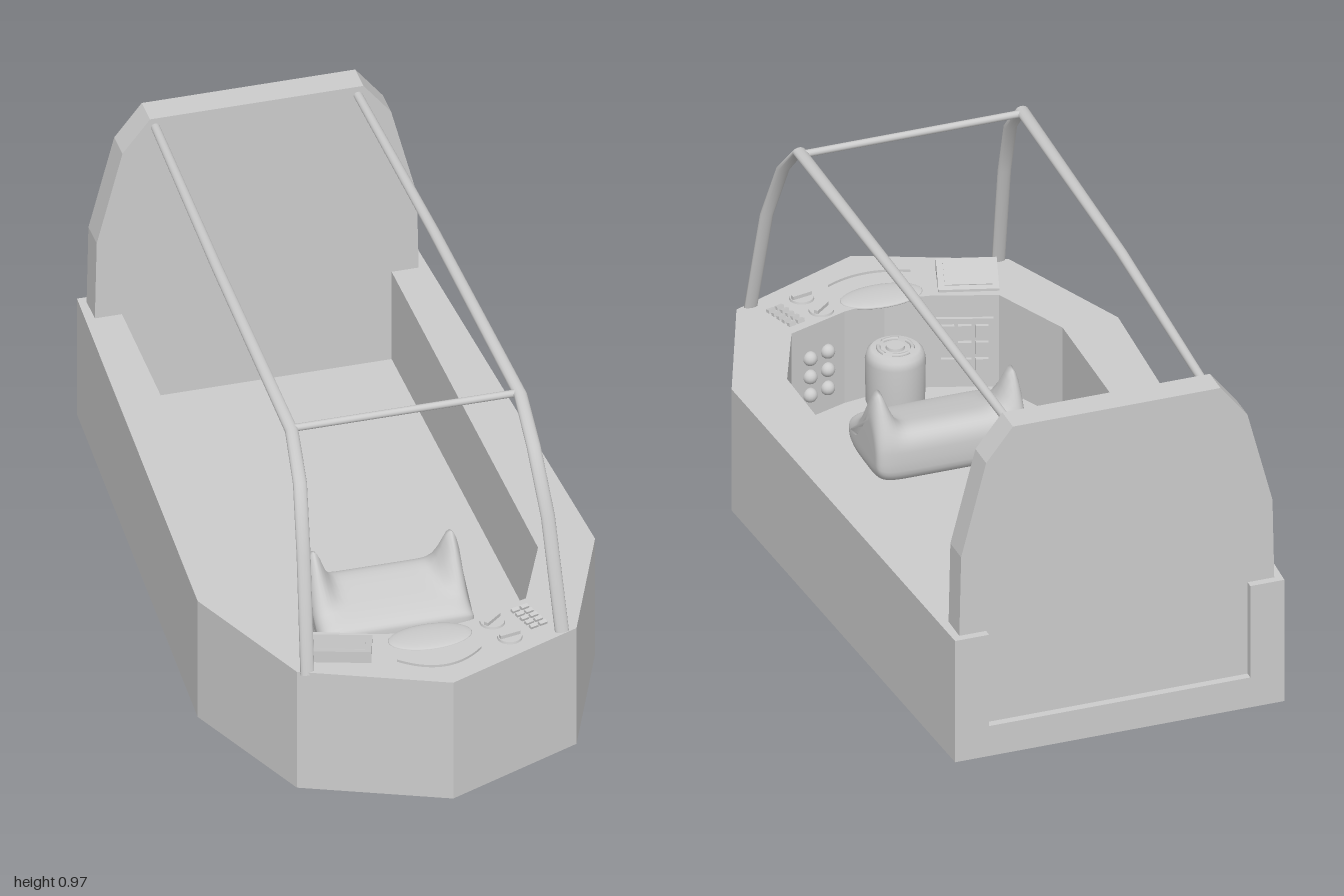
import * as THREE from 'three';

const material = new THREE.MeshStandardMaterial({ color: 0xcccccc, side: THREE.DoubleSide });
const flat = new THREE.MeshStandardMaterial({ color: 0xcccccc, flatShading: true, side: THREE.DoubleSide });

const DECK = 0.365, FLOOR = 0.09;

function add(parent, name, geometry, x = 0, y = 0, z = 0, mat = material) {
  const mesh = new THREE.Mesh(geometry, mat);
  mesh.name = name;
  mesh.position.set(x, y, z);
  parent.add(mesh);
  return mesh;
}

function group(parent, name, x, y, z, yaw = 0) {
  const g = new THREE.Group();
  g.name = name;
  g.position.set(x, y, z);
  g.rotation.y = yaw;
  parent.add(g);
  return g;
}

const shapeOf = points => new THREE.Shape(points.map(([x, y]) => new THREE.Vector2(x, y)));
const mirrored = half => [...half, ...half.slice().reverse().filter(p => p[0] !== 0).map(([x, y]) => [-x, y])];

// Plan outline (x, z) extruded between two heights
function slab(shape, bottom, top) {
  const g = new THREE.ExtrudeGeometry(shape, { depth: top - bottom, bevelEnabled: false, curveSegments: 24 });
  return g.rotateX(Math.PI / 2).translate(0, top, 0);
}

// Grid of rings joined into a skin
function skin(rings, closeEnds = false) {
  const n = rings[0].length, pos = rings.flat(2), index = [];
  for (let i = 0; i < rings.length - 1; i++)
    for (let j = 0; j < n; j++) {
      const a = i * n + j, b = i * n + (j + 1) % n;
      index.push(a, b, a + n, b, b + n, a + n);
    }
  if (closeEnds) for (let j = 1; j < n - 1; j++) {
    const e = (rings.length - 1) * n;
    index.push(0, j + 1, j, e, e + j, e + j + 1);
  }
  const g = new THREE.BufferGeometry();
  g.setAttribute('position', new THREE.Float32BufferAttribute(pos, 3));
  g.setIndex(index);
  g.computeVertexNormals();
  return g;
}

// Oval bar along points [x, y, z, halfWidth, halfThickness]
function ovalBar(points) {
  const v = points.map(p => new THREE.Vector3(p[0], p[1], p[2]));
  return skin(v.map((p, i) => {
    const t = v[Math.min(i + 1, v.length - 1)].clone().sub(v[Math.max(i - 1, 0)]).normalize();
    const up = t.clone().cross(new THREE.Vector3(1, 0, 0)).normalize();
    const side = up.clone().cross(t);
    return Array.from({ length: 14 }, (_, k) => {
      const a = k / 14 * Math.PI * 2;
      return p.clone().addScaledVector(side, Math.cos(a) * points[i][3])
        .addScaledVector(up, Math.sin(a) * points[i][4]).toArray();
    });
  }), true);
}

// Rounded bench whose ends sweep up into horns
function seatGeometry() {
  const rings = [], steps = 40;
  for (let i = 0; i <= steps; i++) {
    const u = -Math.cos(i / steps * Math.PI);
    const x = u * 0.21, s = Math.abs(u);
    const end = Math.pow(Math.max(0, 1 - Math.pow(s, 10)), 0.4);
    const horn = 0.12 * Math.exp(-Math.pow((s - 0.9) / 0.17, 2));
    const ring = [];
    for (let k = 0; k < 40; k++) {
      const a = k / 40 * Math.PI * 2, c = Math.cos(a), n = Math.sin(a);
      const squash = 0.75 + 0.25 * end;
      const z = 0.355 + 0.125 * squash * Math.sign(c) * Math.pow(Math.abs(c), 0.6);
      let y = 0.18 + 0.075 * (0.2 + 0.8 * end) * Math.sign(n) * Math.pow(Math.abs(n), 0.6);
      if (n > 0) y += n * (horn * Math.exp(-Math.pow((z - 0.31) / 0.06, 2)) + (0.33 - z) * 0.22);
      ring.push([x, y, z]);
    }
    rings.push(ring);
  }
  return skin(rings, true);
}

export function createModel() {
  const model = new THREE.Group();
  model.name = 'openCockpit';

  // Hull: solid floor with a wall that is open at the stern
  const outer = [[0.46, -1], [0.54, 0.45], [0.38, 0.84], [0, 1]];
  const inner = [[0.365, -1], [0.385, 0.45], [0.29, 0.67], [0.12, 0.73], [0, 0.75]];
  const hull = group(model, 'hull', 0, 0, 0);
  add(hull, 'floor', slab(shapeOf(mirrored(outer)), 0, FLOOR), 0, 0, 0, flat);
  add(hull, 'sideWallsAndDeck',
    slab(shapeOf([...mirrored(outer), ...mirrored(inner).reverse()]), FLOOR, DECK), 0, 0, 0, flat);

  // Tall rear panel standing on the floor
  const panel = mirrored([[0.44, FLOOR], [0.44, 0.365], [0.435, 0.6], [0.365, 0.87], [0.29, 0.965]]);
  add(model, 'rearPanel',
    new THREE.ExtrudeGeometry(shapeOf(panel), { depth: 0.08, bevelEnabled: false }), 0, 0, -0.978, flat);

  // Roof rails running down into the front posts, slightly uneven left to right
  const frame = group(model, 'cageFrame', 0, 0, 0);
  const cage = [
    ['leftRail', 1, 0.275, 0.287, 0.297, 0.305, 0.34],
    ['rightRail', -1, 0.275, 0.305, 0.325, 0.33, 0.353]];
  for (const [name, s, rear, mid, front, knee, foot] of cage)
    add(frame, name, ovalBar([
      [s * rear, 0.938, -0.91, 0.012, 0.011],
      [s * mid, 0.954, -0.2, 0.015, 0.011],
      [s * front, 0.955, 0.595, 0.018, 0.012],
      [s * knee, 0.855, 0.692, 0.019, 0.012],
      [s * (knee + foot) / 2, 0.68, 0.768, 0.019, 0.011],
      [s * foot, 0.355, 0.845, 0.019, 0.009]]));
  add(frame, 'crossBar', new THREE.CylinderGeometry(0.01, 0.01, 0.62, 12).rotateZ(Math.PI / 2), -0.015, 0.954, 0.58);

  add(model, 'seat', seatGeometry());

  // Round control pedestal
  const pedestal = group(model, 'controlPedestal', 0, 0, 0.67);
  const profile = [[0.07, FLOOR], [0.078, 0.11], [0.08, 0.235], [0.075, 0.255], [0.064, 0.265], [0, 0.265]];
  add(pedestal, 'pedestalBody', new THREE.LatheGeometry(profile.map(p => new THREE.Vector2(...p)), 32));
  add(pedestal, 'pedestalCap', new THREE.CylinderGeometry(0.024, 0.026, 0.01, 24), 0, 0.268, 0);
  for (let i = 0; i < 4; i++) {
    const arc = new THREE.TorusGeometry(0.045, 0.006, 6, 10, Math.PI / 3).rotateX(Math.PI / 2);
    add(pedestal, 'pedestalKey', arc, 0, 0.266, 0).rotation.y = i * Math.PI / 2 + Math.PI / 6;
  }

  // Instrument hood and crescent strip on the deck
  add(model, 'instrumentHood', new THREE.SphereGeometry(1, 32, 12).scale(0.115, 0.01, 0.06), 0, 0.364, 0.775);
  const crescent = new THREE.Shape();
  crescent.moveTo(-0.115, 0.865);
  crescent.quadraticCurveTo(0, 0.975, 0.115, 0.865);
  crescent.quadraticCurveTo(0, 0.925, -0.115, 0.865);
  add(model, 'crescentStrip', slab(crescent, 0.36, 0.372));

  // Wedge-shaped display, rising towards the bow
  const display = group(model, 'display', -0.24, DECK, 0.772, -0.3);
  const wedge = new THREE.BoxGeometry(0.16, 0.034, 0.12);
  const p = wedge.attributes.position;
  for (let i = 0; i < p.count; i++) {
    if (p.getY(i) > 0) p.setY(i, p.getZ(i) > 0 ? 0.034 : 0.007);
    else p.setY(i, -0.01);
  }
  add(display, 'displayBody', wedge, 0, 0, 0, flat);
  add(display, 'displayScreen', new THREE.BoxGeometry(0.125, 0.004, 0.09), 0, 0.021, 0, flat).rotation.x = -0.22;

  // Rotary knobs with grip bars
  for (const [x, z, yaw] of [[0.175, 0.755, 0.7], [0.2, 0.835, 0.2]]) {
    const knob = group(model, 'rotaryKnob', x, DECK, z, yaw);
    add(knob, 'knobBase', new THREE.CylinderGeometry(0.032, 0.034, 0.008, 24), 0, 0.002, 0);
    add(knob, 'knobGrip', new THREE.BoxGeometry(0.058, 0.016, 0.012), 0, 0.008, 0, flat);
  }

  // Rocker switches
  const switches = group(model, 'switches', 0.275, DECK, 0.765, 0.3);
  for (let r = 0; r < 5; r++)
    for (let c = 0; c < 2; c++)
      add(switches, 'rockerSwitch', new THREE.BoxGeometry(0.022, 0.014, 0.012),
        c * 0.028 - 0.014, 0.002, r * 0.022 - 0.05, flat).rotation.x = 0.25;

  // Button banks on the slanted walls below the deck
  const leftBank = group(model, 'leftButtonBank', 0.205, 0.215, 0.7, 0.34);
  const rightBank = group(model, 'rightButtonBank', -0.205, 0.215, 0.7, -0.34);
  for (let r = 0; r < 3; r++) {
    for (let c = 0; c < 2; c++)
      add(leftBank, 'roundButton', new THREE.SphereGeometry(0.02, 16, 10), c * 0.06 - 0.03, r * 0.055 - 0.055, -0.004);
    for (let c = 0; c < 3; c++)
      add(rightBank, 'squareButton', new THREE.BoxGeometry(0.035, 0.038, 0.03),
        c * 0.045 - 0.045, r * 0.05 - 0.05, -0.006, flat);
  }
  add(rightBank, 'buttonPlate', new THREE.BoxGeometry(0.15, 0.17, 0.014), 0, 0, -0.003, flat);

  return model;
}
